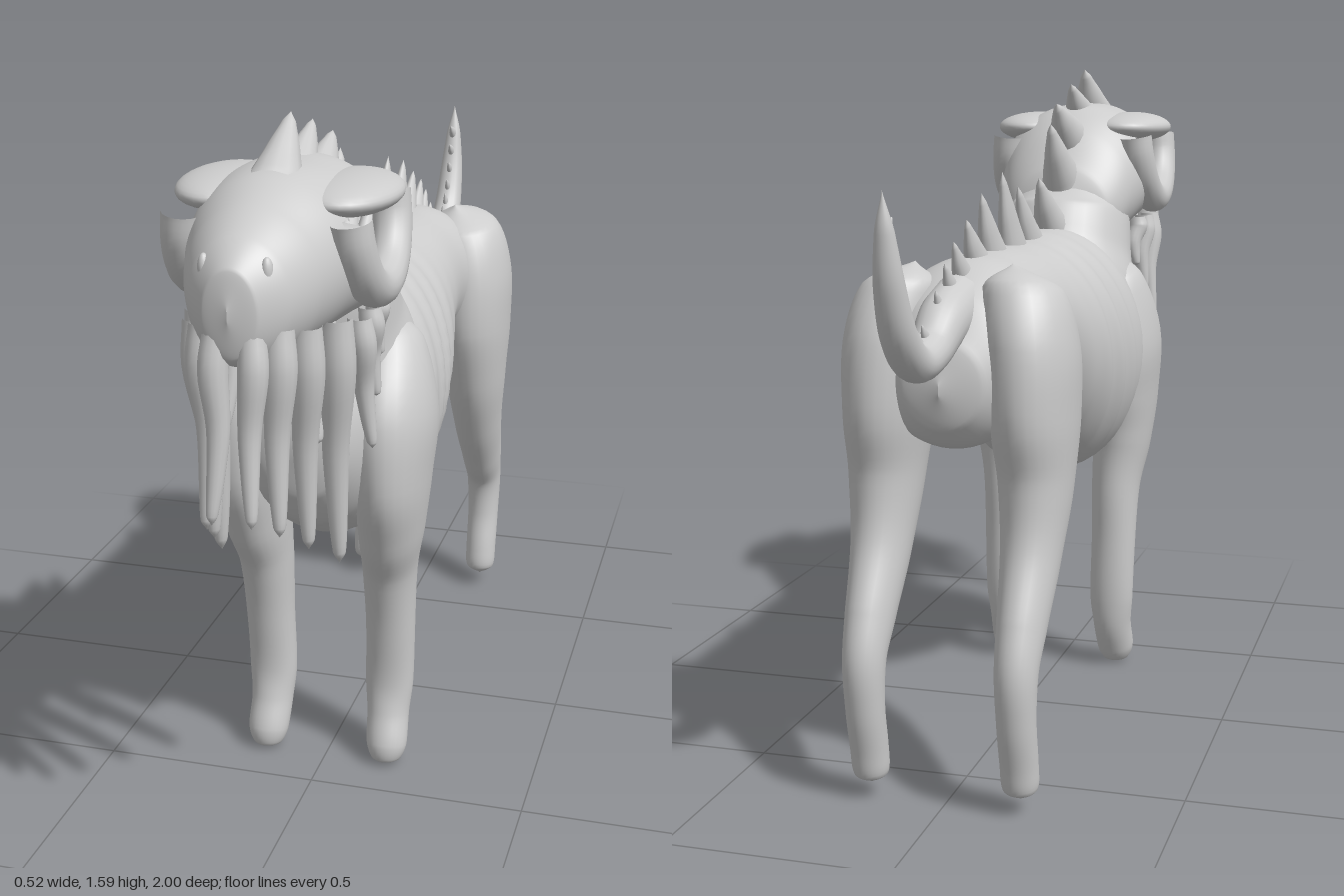
import * as THREE from 'three';

const skin = new THREE.MeshStandardMaterial({ color: 0xcccccc });
skin.name = 'pale grey skin';

// Smooth skin over sections [x, y, z, half-width in x, half-depth]
function loft(sections, { seg = 24, steps = 6, axis = null, warp = null, skip = null } = {}) {
  const path = new THREE.CatmullRomCurve3(sections.map(s => new THREE.Vector3(s[0], s[1], s[2])));
  const size = new THREE.CatmullRomCurve3(sections.map(s => new THREE.Vector3(s[3], s[4], 0)), false, 'catmullrom', 0.4);
  const rows = (sections.length - 1) * steps;
  const side = new THREE.Vector3(1, 0, 0), pts = [], index = [];
  for (let i = 0; i <= rows; i++) {
    const c = path.getPoint(i / rows), r = size.getPoint(i / rows);
    const t = axis ? axis.clone() : path.getTangent(i / rows).setX(0).normalize();
    const up = t.cross(side);
    for (let j = 0; j < seg; j++) {
      const a = j / seg * Math.PI * 2;
      const p = c.clone().addScaledVector(side, Math.max(r.x, 0) * Math.cos(a))
        .addScaledVector(up, Math.max(r.y, 0) * Math.sin(a));
      if (warp) warp(p);
      pts.push(p);
    }
  }
  for (let i = 0; i < rows; i++) for (let j = 0; j < seg; j++) {
    const k = (j + 1) % seg, a = i * seg + j, b = i * seg + k, c = b + seg, d = a + seg;
    if (skip && skip(pts[a].clone().add(pts[c]).multiplyScalar(0.5))) continue;
    index.push(a, b, c, a, c, d);
  }
  const g = new THREE.BufferGeometry().setFromPoints(pts);
  g.setIndex(index);
  g.computeVertexNormals();
  return g;
}

// Sections of a trunk along z, from [z, top, bottom, half-width]
const trunk = list => list.map(([z, t, b, w]) => [0, (t + b) / 2, z, w, (t - b) / 2]);
const backward = new THREE.Vector3(0, 0, -1);

export function createModel() {
  const model = new THREE.Group();
  model.name = 'creature';
  const add = (name, geometry) => {
    const m = new THREE.Mesh(geometry, skin);
    m.name = name;
    model.add(m);
    return m;
  };

  // Torso with soft rib folds on the flanks
  add('body', loft(trunk([
    [0.57, 0.86, 0.84, 0], [0.55, 0.98, 0.74, 0.1], [0.48, 1.1, 0.65, 0.17],
    [0.38, 1.16, 0.59, 0.215], [0.25, 1.19, 0.56, 0.235], [0.1, 1.19, 0.585, 0.225],
    [-0.05, 1.18, 0.67, 0.207], [-0.2, 1.18, 0.795, 0.18], [-0.35, 1.18, 0.82, 0.17],
    [-0.48, 1.17, 0.79, 0.19], [-0.59, 1.11, 0.78, 0.17], [-0.655, 1.02, 0.83, 0.09], [-0.68, 0.93, 0.91, 0],
  ]), {
    seg: 48, steps: 10, axis: backward,
    warp: p => {
      const fade = Math.exp(-(((p.z - 0.08) / 0.16) ** 2));
      p.x *= 1 + 0.028 * fade * Math.sin((p.z + 0.25 * p.y) * 68);
    },
  }));

  // Neck
  add('neck', loft([
    [0, 0.85, 0.27, 0.12, 0.16], [0, 1.0, 0.32, 0.2, 0.2], [0, 1.12, 0.37, 0.175, 0.185],
    [0, 1.22, 0.41, 0.16, 0.165], [0, 1.3, 0.42, 0.12, 0.1], [0, 1.33, 0.42, 0, 0],
  ], { seg: 36, steps: 8 }));

  // Head, left open at the eye sockets
  add('head', loft(trunk([
    [0.99, 1.29, 1.27, 0], [0.975, 1.365, 1.19, 0.055], [0.92, 1.415, 1.16, 0.105],
    [0.84, 1.455, 1.15, 0.14], [0.73, 1.495, 1.15, 0.175], [0.6, 1.5, 1.15, 0.205],
    [0.48, 1.49, 1.13, 0.2], [0.4, 1.44, 1.11, 0.175], [0.32, 1.34, 1.1, 0.13], [0.27, 1.22, 1.18, 0],
  ]), {
    seg: 96, steps: 14, axis: backward,
    skip: p => Math.abs(p.x) > 0.08 && p.y < 1.41 && ((p.z - 0.6) / 0.135) ** 2 + ((1.4 - p.y) / 0.125) ** 2 < 1,
  }));

  // Spines: base z, y then tip z, y, with half-width and half-length
  const spines = [
    [0.69, 1.46, 0.58, 1.59, 0.06, 0.06], [0.54, 1.46, 0.43, 1.55, 0.045, 0.05],
    [0.4, 1.41, 0.28, 1.5, 0.05, 0.06], [0.33, 1.31, 0.22, 1.45, 0.05, 0.06],
    [0.22, 1.19, 0.11, 1.32, 0.045, 0.055], [0.04, 1.15, -0.08, 1.31, 0.035, 0.055],
    [-0.12, 1.15, -0.21, 1.35, 0.035, 0.06], [-0.28, 1.15, -0.37, 1.31, 0.035, 0.055],
    [-0.4, 1.15, -0.48, 1.26, 0.03, 0.045], [-0.5, 1.13, -0.57, 1.22, 0.025, 0.035],
    [-0.57, 1.1, -0.63, 1.18, 0.022, 0.03], [-0.64, 1.06, -0.69, 1.13, 0.02, 0.026],
  ];
  const spine = (name, z0, y0, z1, y1, w, d) => add(name, loft([
    [0, y0, z0, w, d], [0, y0 + (y1 - y0) * 0.45, z0 + (z1 - z0) * 0.5, w * 0.6, d * 0.65],
    [0, y0 + (y1 - y0) * 0.85, z0 + (z1 - z0) * 0.88, w * 0.24, d * 0.24], [0, y1, z1, 0, 0],
  ], { seg: 14, steps: 5 }));
  spines.forEach(s => spine('backSpine', ...s));

  // Upturned tail with a row of small barbs on its inner side
  const tail = [
    [0, 1.08, -0.54, 0.06, 0.07], [0, 1.06, -0.64, 0.055, 0.06], [0, 1.01, -0.73, 0.045, 0.045],
    [0, 1.0, -0.82, 0.042, 0.04], [0, 1.06, -0.905, 0.038, 0.037], [0, 1.16, -0.955, 0.032, 0.03],
    [0, 1.27, -0.98, 0.02, 0.018], [0, 1.35, -0.99, 0, 0],
  ];
  add('tail', loft(tail, { seg: 20, steps: 8 }));
  const tailPath = new THREE.CatmullRomCurve3(tail.map(s => new THREE.Vector3(s[0], s[1], s[2])));
  for (let i = 0; i < 9; i++) {
    const u = 0.3 + i * 0.07, c = tailPath.getPoint(u), t = tailPath.getTangent(u);
    const inY = -t.z, inZ = t.y, r = 0.042 - 0.026 * i / 8;
    spine('tailBarb', c.z + inZ * r * 0.7, c.y + inY * r * 0.7,
      c.z + inZ * (r + 0.03) + t.z * 0.018, c.y + inY * (r + 0.03) + t.y * 0.018, 0.011, 0.016);
  }

  // Tentacles: root x, y, z then tip x, y, z and root radius
  const tentacles = [
    [0.035, 1.24, 0.95, 0.04, 0.86, 0.995, 0.03], [0.075, 1.24, 0.91, 0.075, 0.82, 0.93, 0.033],
    [0.11, 1.23, 0.85, 0.1, 0.75, 0.82, 0.034], [0.14, 1.22, 0.75, 0.13, 0.67, 0.7, 0.037],
    [0.165, 1.2, 0.67, 0.185, 0.91, 0.64, 0.028], [0.165, 1.2, 0.59, 0.175, 1.0, 0.57, 0.027],
    [0.16, 1.2, 0.52, 0.165, 1.07, 0.5, 0.026], [0.1, 1.2, 0.7, 0.1, 0.95, 0.75, 0.027],
  ];

  for (const s of [1, -1]) {
    const side = s > 0 ? 'left' : 'right';
    const mirror = list => list.map(([x, ...rest]) => [x * s, ...rest]);

    for (const [x0, y0, z0, x1, y1, z1, r] of tentacles) {
      const at = (u, k, bow) => [x0 + (x1 - x0) * u + bow, y0 + (y1 - y0) * u, z0 + (z1 - z0) * u + bow, r * k, r * k];
      add(side + 'Tentacle', loft(mirror([
        at(0, 0.9, 0), at(0.2, 1, 0.004), at(0.5, 0.78, -0.006), at(0.75, 0.6, -0.004), at(0.95, 0.38, 0), at(1, 0, 0),
      ]), { seg: 14, steps: 5 }));
    }

    // Shoulder and front leg
    add(side + 'FrontLeg', loft(mirror([
      [0.12, 1.13, 0.3, 0, 0], [0.14, 1.06, 0.32, 0.075, 0.09], [0.158, 0.9, 0.36, 0.1, 0.16],
      [0.165, 0.75, 0.38, 0.085, 0.15], [0.16, 0.62, 0.37, 0.075, 0.11], [0.15, 0.5, 0.345, 0.063, 0.076],
      [0.148, 0.35, 0.33, 0.058, 0.056], [0.145, 0.2, 0.325, 0.057, 0.047], [0.145, 0.12, 0.338, 0.05, 0.048],
      [0.148, 0.05, 0.365, 0.048, 0.046], [0.148, 0.015, 0.373, 0.034, 0.033], [0.148, 0.003, 0.374, 0, 0],
    ]), { seg: 28 }));

    // Haunch and hind leg
    add(side + 'HindLeg', loft(mirror([
      [0.11, 1.17, -0.5, 0, 0], [0.135, 1.12, -0.51, 0.085, 0.1], [0.158, 1.0, -0.52, 0.1, 0.145],
      [0.165, 0.85, -0.52, 0.095, 0.152], [0.17, 0.7, -0.53, 0.08, 0.115], [0.17, 0.55, -0.575, 0.065, 0.085],
      [0.17, 0.42, -0.645, 0.054, 0.07], [0.17, 0.33, -0.688, 0.047, 0.054], [0.17, 0.22, -0.688, 0.043, 0.045],
      [0.17, 0.12, -0.667, 0.042, 0.043], [0.17, 0.06, -0.657, 0.038, 0.038], [0.17, 0.035, -0.655, 0, 0],
    ]), { seg: 28 }));

    // Heavy brow over the socket
    const brow = add(side + 'Brow', new THREE.SphereGeometry(1, 32, 20));
    brow.scale.set(0.105, 0.04, 0.165);
    brow.position.set(0.128 * s, 1.437, 0.59);

    // Baggy lower eyelid, a half ring below the socket
    const lid = [];
    for (let i = 0; i <= 10; i++) {
      const a = Math.PI * (i / 10);
      lid.push(new THREE.Vector3((0.172 + 0.018 * Math.sin(a)) * s, 1.415 - 0.165 * Math.sin(a), 0.6 + 0.155 * Math.cos(a)));
    }
    add(side + 'LowerLid', new THREE.TubeGeometry(new THREE.CatmullRomCurve3(lid), 40, 0.042, 16));

    // Raised nostril rim
    const nostril = add(side + 'Nostril', new THREE.SphereGeometry(1, 16, 12));
    nostril.scale.set(0.012, 0.028, 0.014);
    nostril.position.set(0.062 * s, 1.355, 0.935);
  }
  return model;
}
